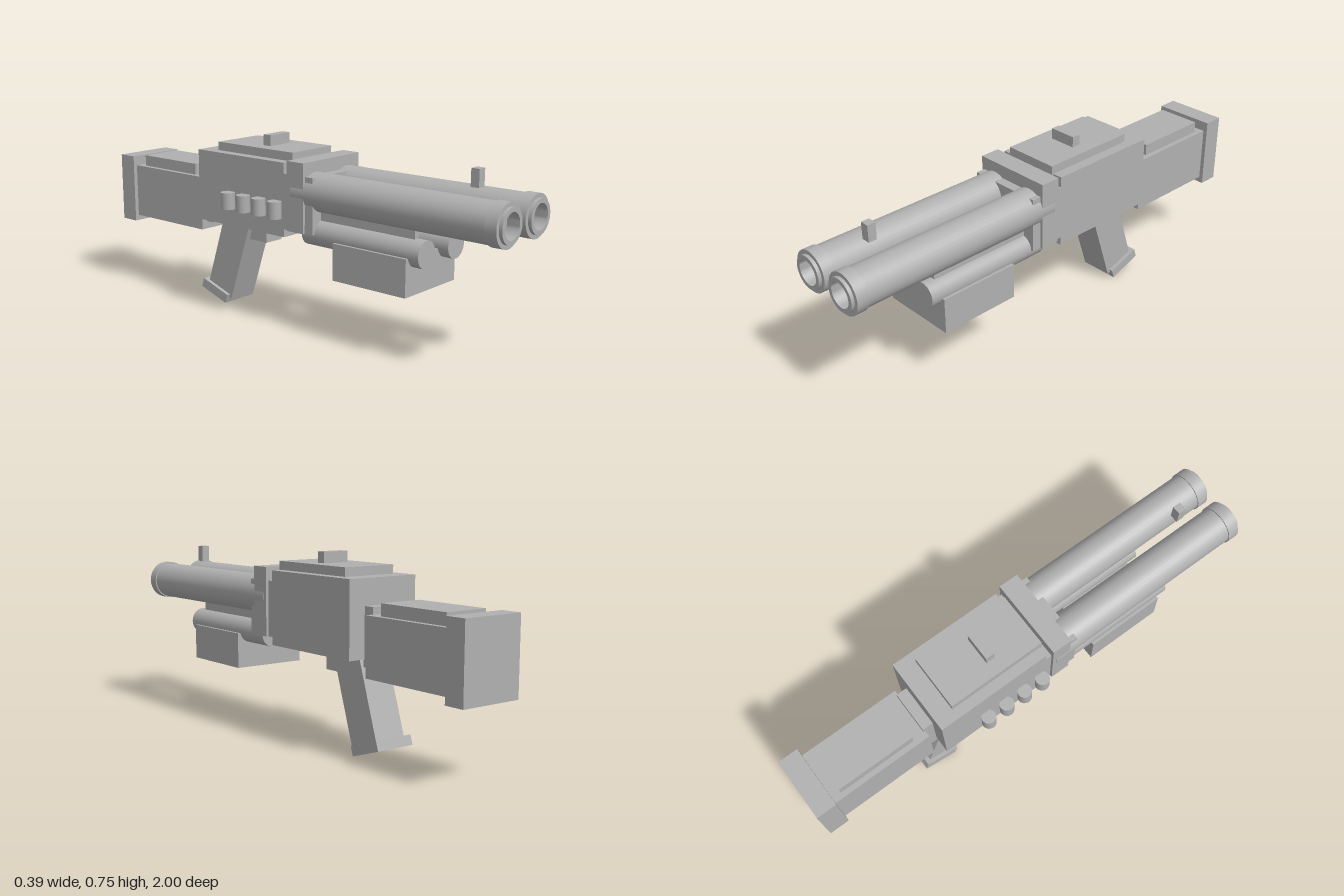
import * as THREE from 'three';
import { toCreasedNormals } from 'three/addons/utils/BufferGeometryUtils.js';

export function createModel() {
  const model = new THREE.Group();
  const grey = new THREE.MeshStandardMaterial({ color: 0xb0b0b0 });
  grey.name = 'plain grey';
  const midX = 0.015; // centre line of the body

  function add(name, geometry) {
    const mesh = new THREE.Mesh(geometry, grey);
    mesh.name = name;
    model.add(mesh);
    return mesh;
  }

  // Box on the centre line, from its full width and its y and z limits
  function box(name, width, y0, y1, z0, z1, x = midX) {
    const mesh = add(name, new THREE.BoxGeometry(width, y1 - y0, z1 - z0));
    mesh.position.set(x, (y0 + y1) / 2, (z0 + z1) / 2);
    return mesh;
  }

  // Body, top plate and rear sight
  box('receiver', 0.317, 0.378, 0.675, -0.455, 0.026);
  box('topPlate', 0.233, 0.66, 0.71, -0.378, 0.035);
  box('rearSight', 0.115, 0.7, 0.754, -0.177, -0.139);

  // Stepped collar holding the barrels
  box('collar', 0.339, 0.41, 0.687, 0.052, 0.135);
  box('collarCore', 0.317, 0.41, 0.633, 0.02, 0.174);

  // Stock
  box('stockNeck', 0.174, 0.349, 0.574, -0.5, -0.45);
  box('stock', 0.227, 0.316, 0.546, -0.92, -0.492);
  box('cheekRest', 0.185, 0.53, 0.593, -0.878, -0.55);
  box('buttPlate', 0.262, 0.292, 0.588, -1, -0.916);

  // Foregrip and front sight
  box('foregrip', 0.317, 0.25, 0.396, 0.275, 0.615);
  box('frontSight', 0.036, 0.661, 0.729, 0.783, 0.817);

  // Twin barrels with muzzle rings and open bores, tubes and struts beneath
  const barrelProfile = [
    [0, 0.07], [0.077, 0.07], [0.077, 0.94], [0.082, 0.94], [0.082, 0.987],
    [0.066, 0.987], [0.066, 1], [0.049, 1], [0.049, 0.95], [0, 0.95],
  ].map(([r, z]) => new THREE.Vector2(r, z));
  const barrelGeometry = toCreasedNormals(new THREE.LatheGeometry(barrelProfile, 32), 0.6);
  barrelGeometry.rotateX(Math.PI / 2);
  const tubeGeometry = new THREE.CylinderGeometry(0.053, 0.053, 0.55, 32).rotateX(Math.PI / 2);
  for (const x of [-0.08, 0.11]) {
    add('barrel', barrelGeometry).position.set(x, 0.568, 0);
    add('lowerTube', tubeGeometry).position.set(x, 0.408, 0.385);
    box('strut', 0.024, 0.44, 0.51, 0.17, 0.615, x);
  }

  // Row of spare cartridges on the right side
  const cartridgeGeometry = new THREE.CylinderGeometry(0.029, 0.029, 0.069, 16);
  for (let i = 0; i < 4; i++) {
    add('cartridge', cartridgeGeometry).position.set(-0.165, 0.488, -0.263 + i * 0.086);
  }

  // Trigger plate and slanted grip with its end cap
  box('triggerPlate', 0.09, 0.298, 0.367, -0.378, -0.176);
  const slant = 0.32;
  const grip = add('grip', new THREE.BoxGeometry(0.137, 0.36, 0.146));
  grip.position.set(midX, 0.212, -0.381);
  grip.rotation.x = slant;
  const cap = add('gripCap', new THREE.BoxGeometry(0.169, 0.04, 0.152));
  cap.position.set(midX, 0.043, -0.455);
  cap.rotation.x = slant;

  return model;
}
